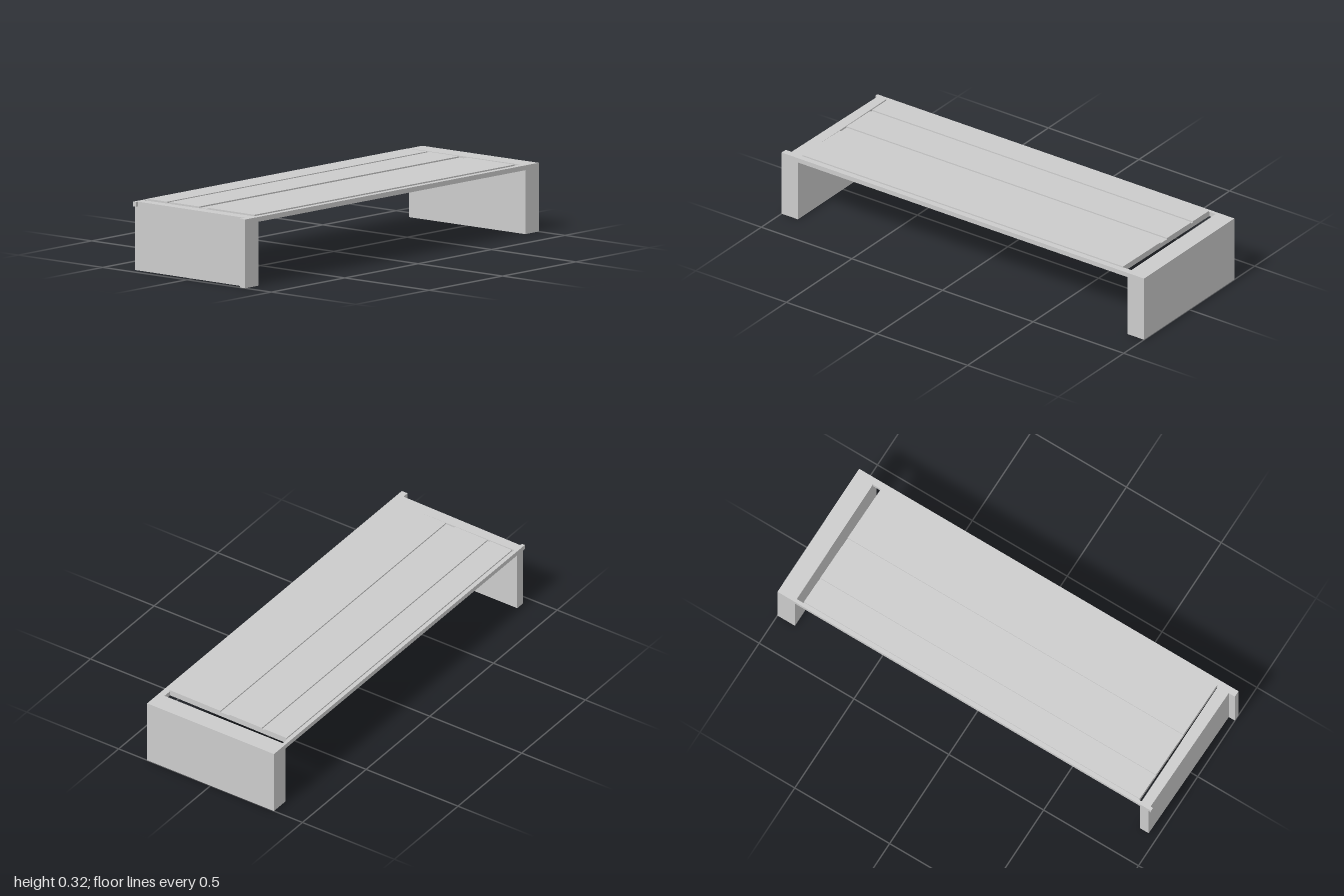
import * as THREE from 'three';

const grey = new THREE.MeshStandardMaterial({ color: 0xcccccc, flatShading: true });
const TOP = 0.312, UNDER = 0.29;

const polygon = (pts, Type = THREE.Shape) => new Type(pts.map(([x, z]) => new THREE.Vector2(x, -z)));

// Extrudes a plan outline given as [x, z] points between two heights
function slab(name, pts, y0, y1, holes = []) {
  const shape = polygon(pts);
  shape.holes = holes.map((h) => polygon(h, THREE.Path));
  const geo = new THREE.ExtrudeGeometry(shape, { depth: y1 - y0, bevelEnabled: false });
  geo.rotateX(-Math.PI / 2).translate(0, y0, 0);
  const mesh = new THREE.Mesh(geo, grey);
  mesh.name = name;
  return mesh;
}

// Ends of the planked area are slightly skewed along z
const skew = (z) => -0.012 * z;
const leftEnd = (z) => -0.901 + skew(z);
const rightEnd = (z) => 0.869 + skew(z);

export function createModel() {
  const group = new THREE.Group();
  const back = -0.345, front = 0.345;

  // Deck with a front ear, a small back ear and a slot beside each leg
  const zb = -0.329, zf = 0.314;
  const deck = [
    [-1, front], [1, front], [1, back], [-0.97, back],
    [-0.97, zb], [-0.957, zb], [-0.968, zf], [-1, zf],
  ];
  const slots = [
    [[-0.91, zf], [leftEnd(zf), zf], [leftEnd(zb), zb], [-0.91, zb]],
    [[rightEnd(zf), zf], [0.908, zf], [0.908, zb], [rightEnd(zb), zb]],
  ];
  group.add(slab('deck', deck, UNDER, TOP, slots));

  // Raised planks on the deck
  for (const [z0, z1] of [[0.037, 0.318], [-0.19, -0.013], [-0.325, -0.205]]) {
    const pts = [[leftEnd(z1), z1], [rightEnd(z1), z1], [rightEnd(z0), z0], [leftEnd(z0), z0]];
    group.add(slab('plank', pts, TOP, 0.318));
  }

  // Thick solid leg
  group.add(slab('thickLeg', [[0.908, front], [1, front], [1, back], [0.908, back]], 0, UNDER));

  // Thin leg with a full-height corner post at its front
  group.add(slab('thinLegWithPost', [
    [-1, front], [-0.91, front], [-0.91, back], [-0.957, back],
    [-0.957, zb], [-0.968, zf], [-1, zf],
  ], 0, UNDER));

  return group;
}
